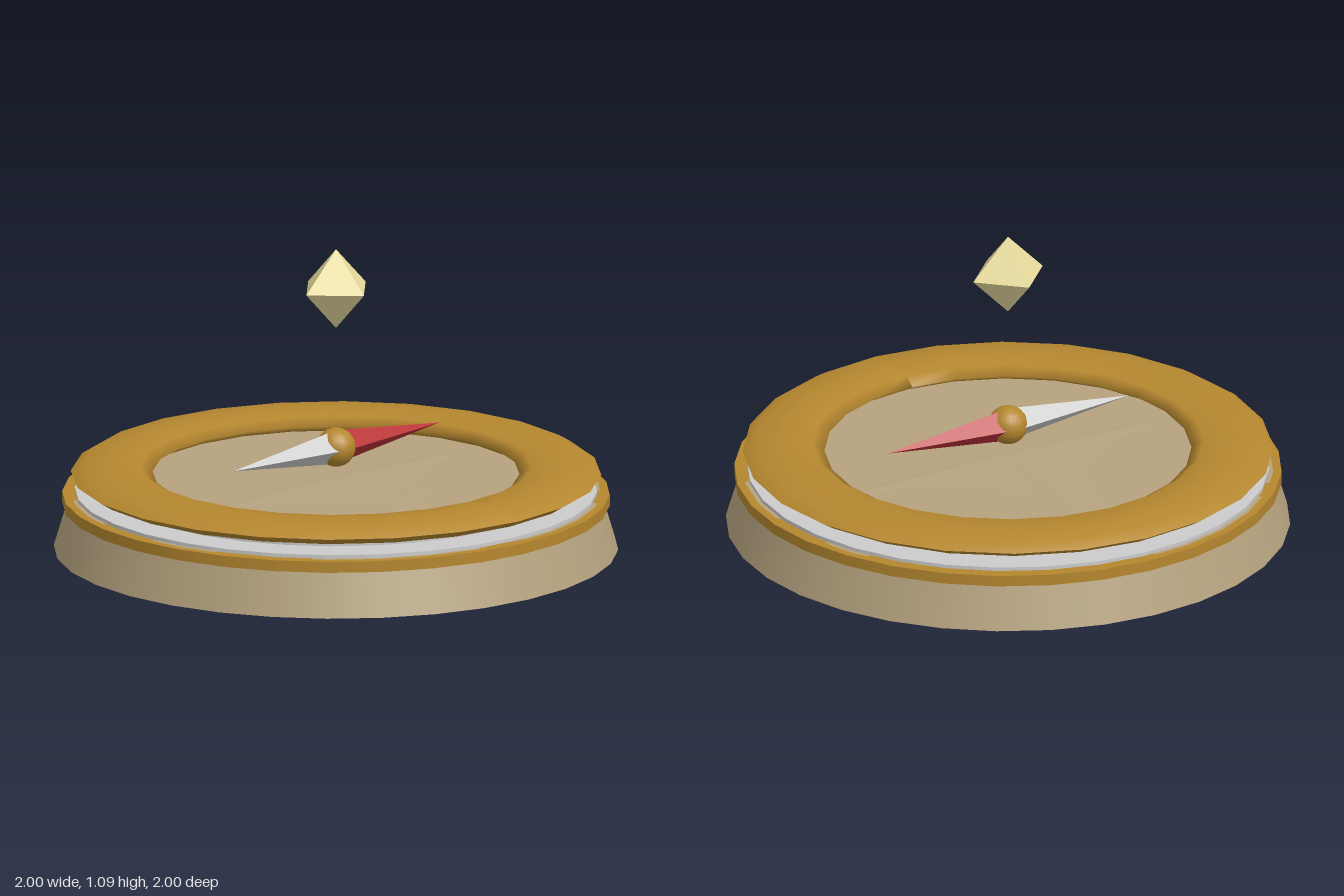
import * as THREE from 'three';

const TAN = 0xb5a27e, GOLD = 0xb5872f, SILVER = 0xcccccc, RED = 0xb83236, PALE = 0xe8dc9c;

function add(parent, name, geometry, color, y = 0, flatShading = false) {
  const material = new THREE.MeshStandardMaterial({ color, flatShading });
  const mesh = new THREE.Mesh(geometry, material);
  mesh.name = name;
  mesh.position.y = y;
  parent.add(mesh);
  return mesh;
}

// Disc with its bottom at y0 and its top at y1
function disc(parent, name, rTop, rBottom, y0, y1, color) {
  return add(parent, name, new THREE.CylinderGeometry(rTop, rBottom, y1 - y0, 32), color, (y0 + y1) / 2);
}

// Low four-pointed star: a fan from a raised centre to a mirrored outline
function roseGeometry() {
  const quarter = [[0.66, 0.05], [0.4, 0.11], [0.2, 0.2], [0.05, 0.45], [0, 0.65]];
  const back = quarter.slice(0, 4).reverse().map(([x, z]) => [-x, z]);
  const half = [...quarter, ...back];
  const outline = [...half, ...half.map(([x, z]) => [-x, -z])];
  const positions = [];
  outline.forEach(([x, z], i) => {
    const [nx, nz] = outline[(i + 1) % outline.length];
    positions.push(0, 0.012, 0, x, 0.001, -z, nx, 0.001, -nz);
  });
  const geometry = new THREE.BufferGeometry();
  geometry.setAttribute('position', new THREE.Float32BufferAttribute(positions, 3));
  geometry.computeVertexNormals();
  return geometry;
}

export function createModel() {
  const model = new THREE.Group();
  model.name = 'compass';

  // Stepped round base
  disc(model, 'base', 0.94, 1, 0, 0.2, TAN);
  disc(model, 'baseBand', 0.97, 0.97, 0.16, 0.2, GOLD);
  disc(model, 'silverPlate', 0.925, 0.925, 0.195, 0.213, SILVER);
  disc(model, 'dialRim', 0.8, 0.8, 0.205, 0.236, SILVER);
  disc(model, 'dial', 0.79, 0.79, 0.21, 0.24, TAN);

  // Flattened bezel ring
  const ring = new THREE.TorusGeometry(0.795, 0.145, 8, 24);
  ring.rotateX(Math.PI / 2).scale(1, 0.26, 1);
  ring.computeVertexNormals();
  add(model, 'bezelRing', ring, GOLD, 0.273);

  // Shallow star on the dial
  add(model, 'compassRose', roseGeometry(), TAN, 0.24, true);

  // Two-part needle, red half towards the back
  const needle = new THREE.Group();
  needle.name = 'needle';
  needle.position.y = 0.367;
  model.add(needle);
  for (const [name, side, color] of [['needleRed', -1, RED], ['needleSilver', 1, SILVER]]) {
    const cone = new THREE.ConeGeometry(0.062, 0.5, 4);
    cone.rotateX(side * Math.PI / 2).translate(0, 0, side * 0.25);
    add(needle, name, cone, color, 0, true);
  }
  add(needle, 'needlePivot', new THREE.SphereGeometry(0.07, 16, 12), GOLD);

  // Floating gem
  add(model, 'gem', new THREE.OctahedronGeometry(0.144), PALE, 0.947, true);

  return model;
}
